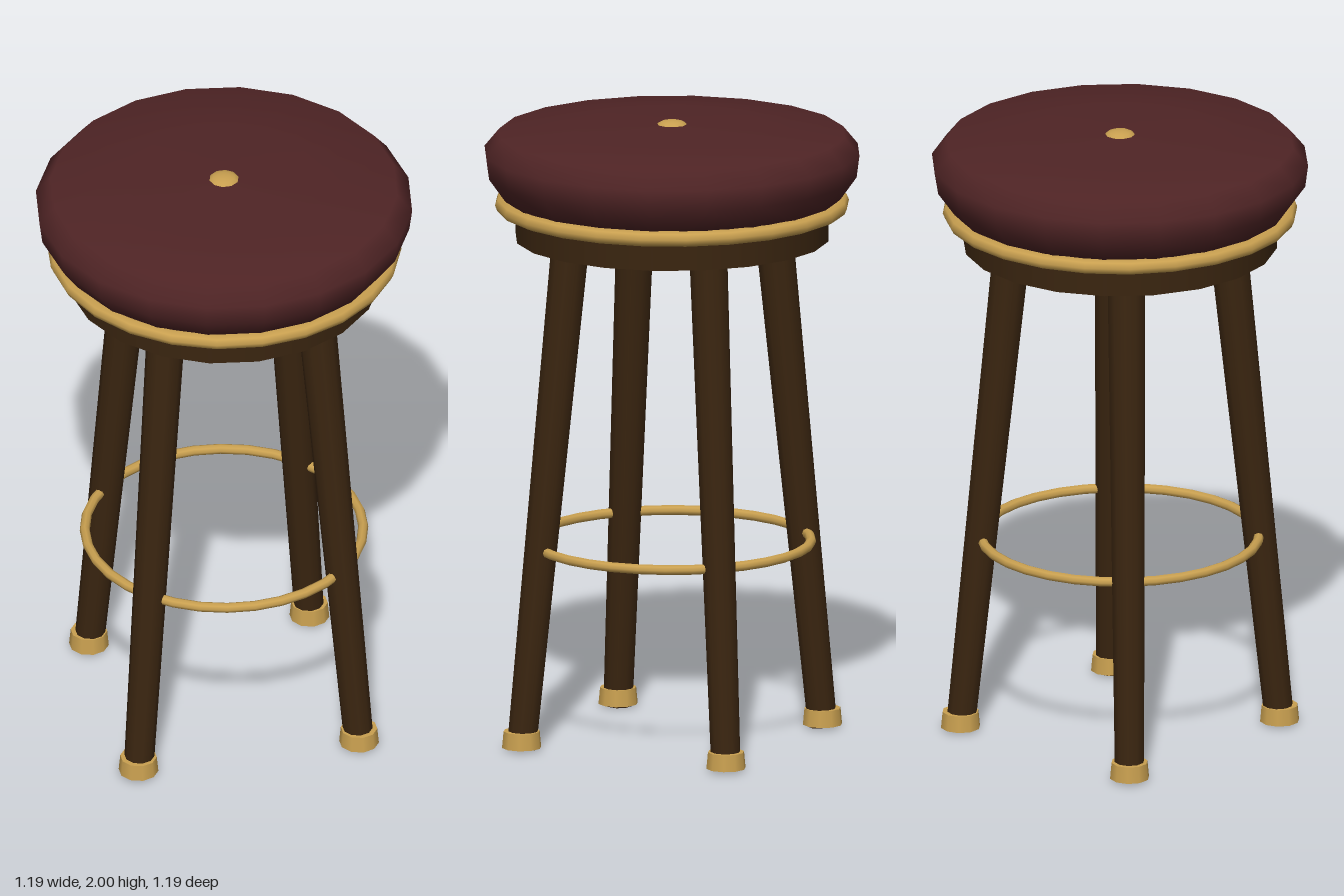
import * as THREE from 'three';

export function createModel() {
  const stool = new THREE.Group();
  stool.name = 'barStool';

  const material = (name, color) => {
    const m = new THREE.MeshStandardMaterial({ color });
    m.name = name;
    return m;
  };
  const leather = material('oxblood leather', 0x4f2425);
  const wood = material('dark wood', 0x3a2510);
  const brass = material('brass', 0xc9a050);

  const add = (name, geometry, mat, x = 0, y = 0, z = 0) => {
    const mesh = new THREE.Mesh(geometry, mat);
    mesh.name = name;
    mesh.position.set(x, y, z);
    stool.add(mesh);
    return mesh;
  };

  // Round padded cushion, from underside to crown
  const profile = [
    [0, 1.745], [0.535, 1.755], [0.588, 1.83], [0.597, 1.9],
    [0.55, 1.957], [0.3, 1.98], [0, 1.987],
  ].map(([r, y]) => new THREE.Vector2(r, y));
  add('cushion', new THREE.LatheGeometry(profile, 20), leather);

  // Flattened button in the middle of the cushion
  const button = new THREE.SphereGeometry(0.05, 10, 8);
  button.scale(1, 0.4, 1);
  add('cushionButton', button, brass, 0, 1.98, 0);

  // Wooden seat base
  add('seatBase', new THREE.CylinderGeometry(0.498, 0.498, 0.13, 20), wood, 0, 1.685, 0);

  // Horizontal rings: trim below the cushion and footrest
  const ring = (name, radius, tube, y, sides, segments) => {
    const g = new THREE.TorusGeometry(radius, tube, sides, segments);
    g.rotateX(Math.PI / 2);
    add(name, g, brass, 0, y, 0);
  };
  ring('trimRing', 0.536, 0.025, 1.732, 8, 24);
  ring('footrestRing', 0.44, 0.016, 0.64, 8, 32);

  // Four splayed, tapered legs with brass feet
  const up = new THREE.Vector3(0, 1, 0);
  for (const [side, sx] of [['Left', 1], ['Right', -1]]) {
    for (const [end, sz] of [['front', 1], ['back', -1]]) {
      const foot = new THREE.Vector3(0.357 * sx, 0.005, 0.357 * sz);
      const top = new THREE.Vector3(0.24 * sx, 1.64, 0.24 * sz);
      const axis = top.clone().sub(foot);
      const mid = foot.clone().add(top).multiplyScalar(0.5);
      const leg = add(`${end}${side}Leg`,
        new THREE.CylinderGeometry(0.061, 0.047, axis.length(), 10), wood, mid.x, mid.y, mid.z);
      leg.quaternion.setFromUnitVectors(up, axis.normalize());
      add(`${end}${side}Foot`,
        new THREE.CylinderGeometry(0.058, 0.063, 0.053, 10), brass, foot.x, 0.034, foot.z);
    }
  }

  return stool;
}
